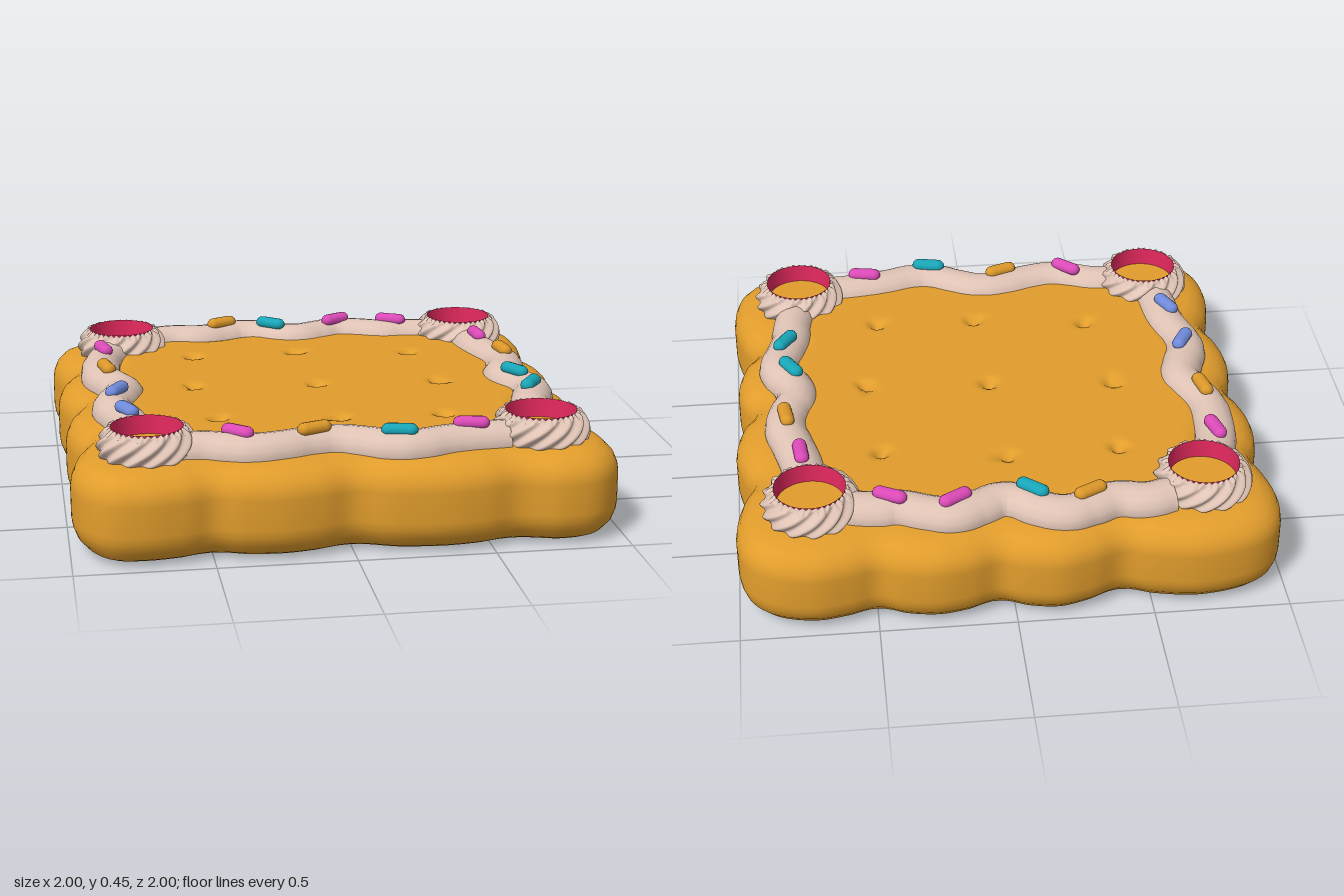
import * as THREE from 'three';

const mat = (name, color) => {
  const m = new THREE.MeshStandardMaterial({ color });
  m.name = name;
  return m;
};

// Skin a list of closed rings, ordered from the bottom up, with smooth normals
function loft(rings) {
  const n = rings[0].length, pos = [], idx = [];
  rings.forEach(r => r.forEach(p => pos.push(p.x, p.y, p.z)));
  for (let j = 0; j < rings.length - 1; j++) {
    for (let i = 0; i < n; i++) {
      const a = j * n + i, b = j * n + (i + 1) % n, c = a + n, d = b + n;
      idx.push(a, c, b, b, c, d);
    }
  }
  const g = new THREE.BufferGeometry();
  g.setAttribute('position', new THREE.Float32BufferAttribute(pos, 3));
  g.setIndex(idx);
  g.computeVertexNormals();
  return g;
}

const curve = (pts, closed, type) =>
  new THREE.CatmullRomCurve3(pts.map(([x, z]) => new THREE.Vector3(x, 0, z)), closed, type, 0.65);

const DIMPLES = [[-.435, -.465], [-.015, -.48], [.45, -.41], [-.475, -.035], [.005, .005], [.485, .035],
  [-.425, .405], [.02, .465], [.415, .475]];

// Slightly raised top, s running from 1 at the rounded edge to 0 in the middle
function topHeight(x, z, s) {
  let y = 0.34 + 0.028 * THREE.MathUtils.smoothstep(1 - s, 0, 0.16);
  for (const [dx, dz] of DIMPLES) {
    y -= 0.035 * Math.exp(-((x - dx) ** 2 + (z - dz) ** 2) / 0.0008);
  }
  return y;
}

// Scalloped biscuit with rounded edges and pricked top
function biscuitGeometry() {
  const outline = curve([
    [-.88, -.94], [-.68, -.985], [-.5, -.96], [-.39, -.925], [-.28, -.97], [-.16, -1], [-.03, -.98],
    [.06, -.945], [.16, -.98], [.28, -1], [.41, -.98], [.5, -.945], [.59, -.97], [.72, -.99], [.88, -.95],
    [.97, -.86], [.998, -.72], [.975, -.56], [.935, -.46], [.97, -.36], [.995, -.23], [.975, -.1],
    [.925, 0], [.97, .1], [.985, .21], [.96, .33], [.915, .41], [.965, .53], [.998, .7],
    [.975, .86], [.885, .96], [.75, .985], [.59, .95], [.47, .98], [.33, .995], [.14, .975],
    [0, .93], [-.12, .965], [-.25, .985], [-.4, .97], [-.5, .94], [-.6, .97], [-.75, .988], [-.88, .96],
    [-.96, .86], [-.99, .72], [-.965, .55], [-.93, .44], [-.965, .33], [-.985, .2], [-.965, .07],
    [-.935, -.02], [-.97, -.12], [-.995, -.25], [-.98, -.38], [-.945, -.47], [-.975, -.57], [-1, -.72],
    [-.968, -.86]], true);
  const n = 320, base = [], inward = [];
  for (let i = 0; i < n; i++) {
    const t = outline.getTangentAt(i / n);
    base.push(outline.getPointAt(i / n));
    inward.push(new THREE.Vector3(-t.z, 0, t.x));
  }
  const ring = (inset, y) => base.map((p, i) => p.clone().addScaledVector(inward[i], inset).setY(y));
  const rings = [[.13, 0], [.085, .005], [.047, .022], [.017, .055], [.004, .09], [0, .12], [0, .23],
    [.005, .26], [.018, .29], [.047, .318], [.085, .334], [.13, .34]].map(([s, y]) => ring(s, y));
  const edge = rings[rings.length - 1];
  const steps = 64;
  for (let k = 1; k <= steps; k++) {
    const s = 1 - k / steps;
    rings.push(edge.map(p => new THREE.Vector3(p.x * s, topHeight(p.x * s, p.z * s, s), p.z * s)));
  }
  rings.unshift(rings[0].map(() => new THREE.Vector3(0, 0, 0)));
  return loft(rings);
}

// Piped corner ring with slanted ridges and a ragged rim; profile holds radius, height, ridge depth
function rosetteGeometry() {
  const n = 144;
  const profile = new THREE.CatmullRomCurve3([[.157, .325, .03], [.17, .345, .05], [.174, .368, .05],
    [.171, .39, .05], [.16, .412, .05], [.146, .43, .04], [.136, .438, .01], [.13, .438, 0]]
    .map(p => new THREE.Vector3(...p)));
  return loft(profile.getPoints(28).map(({ x: r, y, z: ridge }) => {
    const ring = [];
    for (let i = 0; i < n; i++) {
      const a = i / n * Math.PI * 2;
      const rr = r * (1 + ridge * Math.sin(13 * a + (y - .33) * 110));
      const jag = y > .425 ? .005 * Math.sin(36 * a) : 0;
      ring.push(new THREE.Vector3(Math.cos(a) * rr, y + jag, Math.sin(a) * rr));
    }
    return ring;
  }));
}

export function createModel() {
  const model = new THREE.Group();
  const biscuit = mat('biscuit', 0xe29d2c);
  const icing = mat('icing', 0xdfc3b5);
  const jam = mat('jam red', 0xe0285c);
  jam.side = THREE.DoubleSide;
  const candy = {
    pink: mat('pink', 0xdc4ab8), teal: mat('teal', 0x18a6b8),
    orange: mat('orange', 0xdc982a), blue: mat('blue', 0x6f8bdc),
  };
  const add = (name, geometry, material, parent = model) => {
    const mesh = new THREE.Mesh(geometry, material);
    mesh.name = name;
    parent.add(mesh);
    return mesh;
  };

  add('biscuit', biscuitGeometry(), biscuit);

  // Wavy piped icing along the four edges, ending inside the rosette rims
  const paths = {
    backIcing: [[-.58, -.765], [-.49, -.785], [-.38, -.77], [-.28, -.805], [-.19, -.83], [-.1, -.8],
      [-.03, -.75], [.04, -.735], [.12, -.77], [.21, -.805], [.3, -.785], [.4, -.745], [.48, -.745],
      [.585, -.73]],
    rightEdgeIcing: [[.735, -.56], [.745, -.45], [.775, -.32], [.8, -.21], [.785, -.11], [.755, -.02],
      [.765, .07], [.805, .15], [.815, .22], [.79, .31], [.765, .4], [.76, .48], [.745, .57]],
    frontIcing: [[-.575, .73], [-.5, .735], [-.42, .765], [-.34, .785], [-.24, .77], [-.13, .735],
      [-.03, .725], [.06, .76], [.16, .815], [.25, .82], [.35, .79], [.45, .77], [.58, .755]],
    leftEdgeIcing: [[-.77, -.555], [-.805, -.45], [-.82, -.33], [-.815, -.21], [-.775, -.1], [-.75, -.02],
      [-.77, .07], [-.8, .16], [-.8, .24], [-.775, .33], [-.755, .42], [-.745, .56]],
  };
  for (const [name, pts] of Object.entries(paths)) {
    const tube = add(name, new THREE.TubeGeometry(curve(pts, false, 'catmullrom'), 100, .08, 16), icing);
    tube.position.y = .343;
    tube.scale.y = .93;
  }

  // Open corner rosettes with a red inner wall
  const rosette = rosetteGeometry();
  const wall = new THREE.CylinderGeometry(.13, .122, .1, 48, 1, true);
  [[-.713, -.69], [.722, -.697], [-.713, .705], [.722, .712]].forEach(([x, z], i) => {
    const g = new THREE.Group();
    g.name = 'cornerRosette' + (i + 1);
    g.position.set(x, 0, z);
    g.rotation.y = i * .7;
    add('icingRing', rosette, icing, g);
    add('jamWall', wall, jam, g).position.y = .392;
    // Biscuit centre level with the raised top
    const floor = add('biscuitCentre', new THREE.CircleGeometry(.125, 48), biscuit, g);
    floor.rotation.x = -Math.PI / 2;
    floor.position.y = .372;
    model.add(g);
  });

  // Sprinkles: colour, x, z, turn in degrees (clockwise from above)
  const sprinkle = new THREE.CapsuleGeometry(.027, .078, 6, 12).rotateZ(Math.PI / 2);
  [['orange', -.282, -.792, -27], ['teal', -.077, -.755, 40], ['pink', .205, -.785, -30],
    ['pink', .438, -.748, 27], ['pink', .748, -.45, 85], ['orange', .797, -.207, 82],
    ['teal', .77, .115, 60], ['teal', .788, .303, -57], ['pink', -.395, .757, 42],
    ['orange', -.12, .757, -20], ['teal', .177, .825, 12], ['pink', .448, .778, 10],
    ['pink', -.802, -.45, 76], ['orange', -.806, -.167, 78], ['blue', -.785, .16, -60],
    ['blue', -.765, .425, 66],
  ].forEach(([color, x, z, deg]) => {
    const s = add(color + 'Sprinkle', sprinkle, candy[color]);
    s.position.set(x, .421, z);
    s.scale.y = .9;
    s.rotation.y = -deg * Math.PI / 180;
  });

  return model;
}
